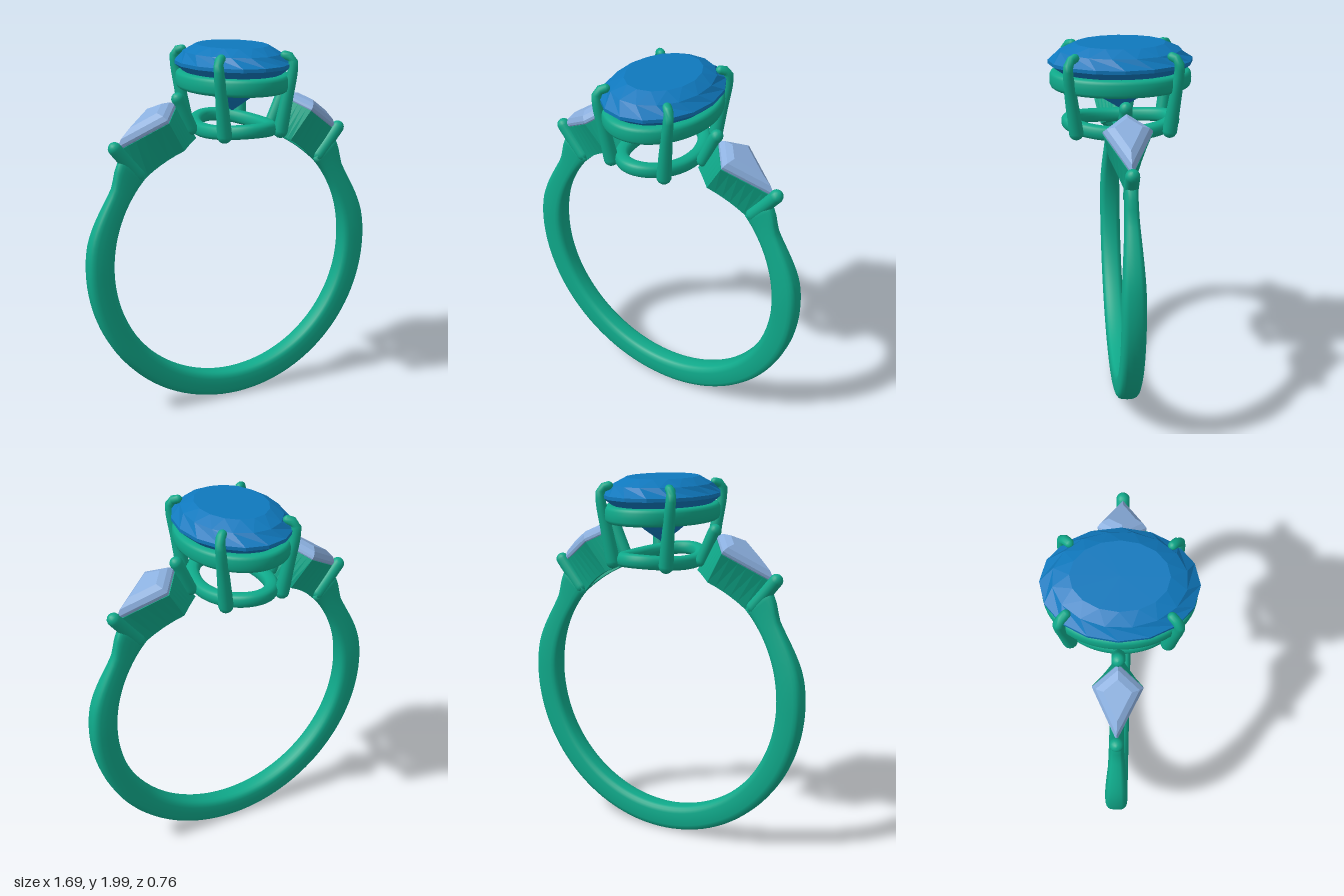
import * as THREE from 'three';

const CY = 0.85, INNER = 0.70; // finger hole centre height and radius
const metal = new THREE.MeshStandardMaterial({ color: 0x0fa98a });
const metalFlat = new THREE.MeshStandardMaterial({ color: 0x0fa98a, flatShading: true });
const blue = new THREE.MeshStandardMaterial({ color: 0x0f78bd, flatShading: true });
const paleBlue = new THREE.MeshStandardMaterial({ color: 0x8aaedd, flatShading: true });
const V = (x, y, z) => new THREE.Vector3(x, y, z);

// Skin closed cross-sections; join the last to the first, or cap both ends
function loft(name, rings, material, closed = false) {
  const n = rings[0].length, m = rings.length, pts = rings.flat(), idx = [];
  for (let i = 0; i < (closed ? m : m - 1); i++)
    for (let j = 0; j < n; j++) {
      const k = (j + 1) % n, a = i * n, b = ((i + 1) % m) * n;
      idx.push(a + j, b + j, a + k, a + k, b + j, b + k);
    }
  if (!closed)
    for (const i of [0, m - 1]) {
      const c = pts.length;
      pts.push(rings[i].reduce((s, p) => s.add(p), V(0, 0, 0)).divideScalar(n));
      for (let j = 0; j < n; j++) {
        const a = i * n + j, b = i * n + (j + 1) % n;
        idx.push(c, ...(i === 0 ? [a, b] : [b, a]));
      }
    }
  // turn the faces outward when the enclosed volume comes out negative
  let vol = 0;
  for (let i = 0; i < idx.length; i += 3)
    vol += pts[idx[i]].dot(V(0, 0, 0).crossVectors(pts[idx[i + 1]], pts[idx[i + 2]]));
  if (vol < 0) idx.reverse();
  let g = new THREE.BufferGeometry().setFromPoints(pts);
  g.setIndex(idx);
  if (material.flatShading) g = g.toNonIndexed();
  g.computeVertexNormals();
  const mesh = new THREE.Mesh(g, material);
  mesh.name = name;
  return mesh;
}

// Rounded-rectangle section as [a, b] pairs
function section(ha, hb, power = 0.6, n = 20) {
  return Array.from({ length: n }, (_, i) => {
    const t = (i / n) * Math.PI * 2, c = Math.cos(t), s = Math.sin(t);
    return [ha * Math.sign(c) * Math.abs(c) ** power, hb * Math.sign(s) * Math.abs(s) ** power];
  });
}

// Round-ended rod along a curve, tapering from r0 to r1
function rod(name, points, r0, r1 = r0) {
  const curve = new THREE.CatmullRomCurve3(points), L = curve.getLength();
  const ds = [], E = 5, M = 14;
  for (let i = 0; i < E; i++) ds.push(r0 * (1 - Math.cos((i + 0.15) / E * Math.PI / 2)));
  for (let i = 0; i <= M; i++) ds.push(r0 + (L - r0 - r1) * i / M);
  for (let i = E - 1; i >= 0; i--) ds.push(L - r1 * (1 - Math.cos((i + 0.15) / E * Math.PI / 2)));
  const rings = ds.map((d) => {
    const u = d / L, p = curve.getPointAt(u), t = curve.getTangentAt(u);
    const a = V(0, 0, 1).cross(t).normalize(), b = V(0, 0, 0).crossVectors(t, a);
    const r = r0 + (r1 - r0) * u;
    const e = Math.min(1, d / r0, (L - d) / r1), f = r * Math.sqrt(1 - (1 - e) ** 2);
    return section(f, f, 1, 14).map(([x, y]) => p.clone().addScaledVector(a, x).addScaledVector(b, y));
  });
  return loft(name, rings, metal);
}

// Oval ring in plan, with a height that may vary with x
function ovalRing(name, rx, rz, hw, hh, height, power) {
  const rings = [], N = 64;
  for (let i = 0; i < N; i++) {
    const t = (i / N) * Math.PI * 2, c = Math.cos(t), s = Math.sin(t);
    rings.push(section(hw, hh, power, 16).map(([a, b]) =>
      V((rx + a) * c, height(rx * c) + b, (rz + a) * s)));
  }
  return loft(name, rings, metal, true);
}

// Open shank: narrows toward the shoulders, where its outside flares to the side settings
function shank() {
  const rings = [], N = 96, end = 44;
  const ss = THREE.MathUtils.smoothstep;
  for (let i = 0; i <= N; i++) {
    const deg = end - (180 + 2 * end) * i / N, a = deg * Math.PI / 180;
    const up = Math.asin(Math.sin(a)) * 180 / Math.PI;
    const outer = 0.843 - 0.025 * ss(up, 8, 29) + 0.055 * ss(up, 31, 43);
    const half = 0.061 - 0.028 * ss(up, 0, 42);
    const mid = (outer + INNER) / 2;
    rings.push(section((outer - INNER) / 2, half).map(([r, z]) =>
      V((mid + r) * Math.cos(a), CY + (mid + r) * Math.sin(a), z)));
  }
  return loft('shank', rings, metal);
}

// Oval brilliant: alternate rings are turned half a step to make triangular facets
function centreStone() {
  const N = 16;
  const rows = [[0.62, 2.0, 0], [0.84, 1.963, 0.5], [1, 1.915, 0], [1, 1.897, 0],
    [0.62, 1.80, 0.5], [0.3, 1.718, 0], [0.02, 1.652, 0.5]];
  const rings = rows.map(([s, y, off]) => Array.from({ length: N }, (_, j) => {
    const t = ((j + off) / N) * Math.PI * 2;
    return V(0.29 * s * Math.cos(t), y, 0.378 * s * Math.sin(t));
  }));
  return loft('centreStone', rings, blue);
}

// Kite stone with its hollow tapered setting and two prongs, on side +1 or -1
function sideSetting(side) {
  const group = new THREE.Group();
  group.name = side > 0 ? 'leftSideSetting' : 'rightSideSetting';
  const T = V(-0.848, 0.53, 0), Nrm = V(0.53, 0.848, 0), tip = V(0.645, 1.50, 0), mid = 0.24;
  const corners = [[0, 0], [0.265, 0.124], [0.377, 0], [0.265, -0.124]];
  const kite = (s, h, div = 1, sw = s) => {
    const out = [];
    corners.forEach(([u, w], i) => {
      const [u2, w2] = corners[(i + 1) % 4];
      for (let k = 0; k < div; k++) {
        const f = k / div, uu = mid + (u + (u2 - u) * f - mid) * s;
        out.push(tip.clone().addScaledVector(T, uu).addScaledVector(Nrm, h)
          .add(V(0, 0, (w + (w2 - w) * f) * sw)));
      }
    });
    return out;
  };
  // slide points down the setting's axis onto the finger circle
  const drop = (pts) => pts.map((p) => {
    const q = V(p.x, p.y - CY, 0), d = q.dot(Nrm);
    return p.clone().addScaledVector(Nrm, -d + Math.sqrt(d * d - q.lengthSq() + INNER ** 2));
  });
  const flip = (rings) => rings.map((r) => r.map((p) => V(p.x * side, p.y, p.z)));
  group.add(loft('kiteStone', flip([kite(0.8, -0.03), kite(1, -0.002), kite(1, 0.012),
    kite(0.85, 0.036), kite(0.55, 0.056)]), paleBlue));
  group.add(loft('settingWall', flip([kite(1, -0.008, 6), drop(kite(1, 0, 6, 0.68)),
    drop(kite(0.72, 0, 6, 0.46)), kite(0.76, -0.008, 6)]), metalFlat, true));
  group.add(rod('outerProng', [V(0.52 * side, 1.325, 0), V(0.605 * side, 1.425, 0),
    V(0.69 * side, 1.53, 0)], 0.036));
  group.add(rod('innerProng', [V(0.225 * side, 1.54, 0), V(0.275 * side, 1.65, 0),
    V(0.31 * side, 1.725, 0), V(0.335 * side, 1.76, 0)], 0.034));
  return group;
}

export function createModel() {
  const model = new THREE.Group();
  model.name = 'ring';
  model.add(shank(), centreStone());
  // upper gallery under the stone, and the base ring curved to the finger
  model.add(ovalRing('gallery', 0.25, 0.335, 0.036, 0.046, () => 1.815, 0.65));
  model.add(ovalRing('baseRing', 0.182, 0.276, 0.038, 0.037,
    (x) => CY + Math.sqrt(0.735 ** 2 - x * x), 0.8));
  for (const sx of [1, -1]) {
    model.add(sideSetting(sx));
    // claws lean outward and hook over the stone
    for (const sz of [1, -1])
      model.add(rod('claw', [[0.157, 1.53, 0.238], [0.185, 1.73, 0.262], [0.21, 1.90, 0.28],
        [0.208, 1.945, 0.272], [0.165, 1.965, 0.228]].map(([x, y, z]) => V(x * sx, y, z * sz)), 0.04, 0.022));
  }
  return model;
}
